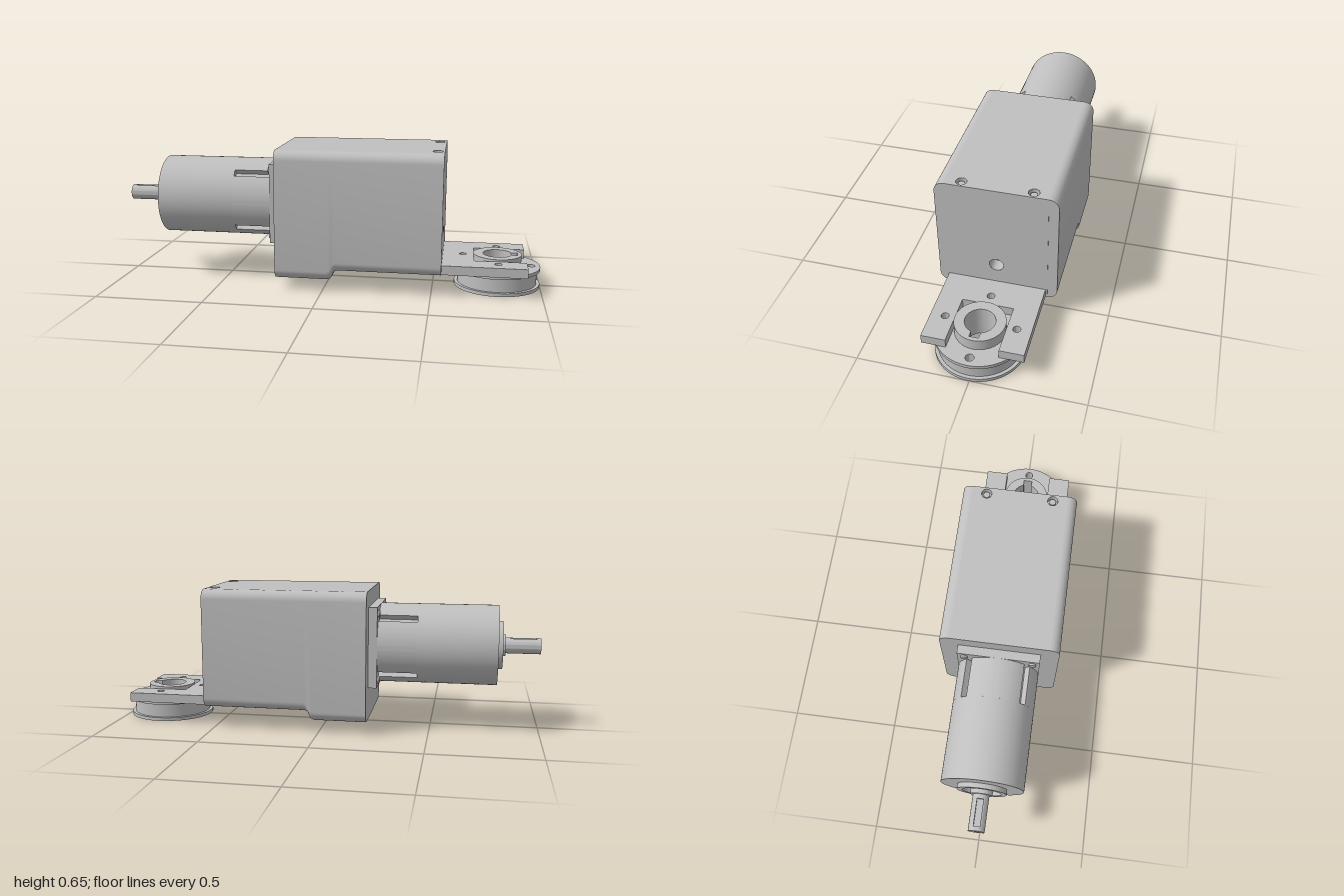
import * as THREE from 'three';
import { toCreasedNormals, mergeVertices } from 'three/addons/utils/BufferGeometryUtils.js';

const PI = Math.PI;
const AXIS_Y = 0.39; // height of the gear motor axis

export function createModel() {
  const model = new THREE.Group();
  model.name = 'gearMotorUnit';
  const grey = new THREE.MeshStandardMaterial({ color: 0xc0c0c0 });
  grey.name = 'machinedGrey';

  function add(name, geo, x = 0, y = 0, z = 0, parent = model) {
    const mesh = new THREE.Mesh(geo, grey);
    mesh.name = name;
    mesh.position.set(x, y, z);
    parent.add(mesh);
    return mesh;
  }
  const crease = (g) => toCreasedNormals(g, 0.5);

  // Extrusions along +x (shape right = -z) and along +y (shape up = -z)
  const extrude = (shape, depth) =>
    new THREE.ExtrudeGeometry(shape, { depth, bevelEnabled: false, curveSegments: 32 });
  const alongX = (shape, depth) => crease(extrude(shape, depth).rotateY(PI / 2));
  const alongY = (shape, depth) => crease(extrude(shape, depth).rotateX(-PI / 2));
  const circle = (r, x = 0, y = 0, T = THREE.Shape) => new T().absarc(x, y, r, 0, PI * 2, false);
  const hole = (r, x, y) => circle(r, x, y, THREE.Path);

  // Circle with slots cut in at the given angles
  function slotted(r, angles, half, depth) {
    const s = new THREE.Shape();
    angles.forEach((a, i) => {
      const next = i + 1 < angles.length ? angles[i + 1] : angles[0] + PI * 2;
      const inner = r - depth, w = (half * r) / inner;
      if (i === 0) s.moveTo(inner * Math.cos(a - w), inner * Math.sin(a - w));
      else s.lineTo(inner * Math.cos(a - w), inner * Math.sin(a - w));
      s.lineTo(inner * Math.cos(a + w), inner * Math.sin(a + w));
      s.absarc(0, 0, r, a + half, next - half, false);
    });
    s.closePath();
    return s;
  }

  // Blind hole opening towards +y
  const pocket = (r, d) => crease(new THREE.LatheGeometry(
    [new THREE.Vector2(r, 0), new THREE.Vector2(r, -d), new THREE.Vector2(0, -d)], 24));

  // ---- Housing: rounded section lofted along x, with a stepped foot ----
  const W = 0.27, TOP = 0.652, R = 0.045, N = 8, X0 = -0.22, X1 = 0.545;
  const sections = [[X0, 0.052], [0.02, 0.052], [0.035, 0.057], [0.043, 0.067],
    [0.047, 0.08], [0.055, 0.092], [0.065, 0.097], [X1, 0.097]];
  function ring(bottom) {
    const pts = [];
    [[1, 0], [1, 1], [-1, 1], [-1, 0]].forEach(([sx, up], c) => {
      for (let k = 0; k <= N; k++) {
        const a = (c - 1 + k / N) * PI / 2;
        pts.push(new THREE.Vector2(sx * (W - R) + R * Math.cos(a),
          (up ? TOP - R : bottom + R) + R * Math.sin(a)));
      }
    });
    return pts;
  }
  const count = 4 * (N + 1), topStrip = 2 * (N + 1) - 1, bottomStrip = count - 1;
  const pos = [], index = [];
  sections.forEach(([x, b], i) => {
    ring(b).forEach((p) => pos.push(p.x, p.y, x));
    if (i === 0) return;
    for (let j = 0; j < count; j++) {
      // the top and the foot underside are made as drilled plates
      if (j === topStrip || (j === bottomStrip && i === 1)) continue;
      const k = (j + 1) % count, a = (i - 1) * count, d = i * count;
      index.push(a + j, a + k, d + k, a + j, d + k, d + j);
    }
  });
  const shell = new THREE.BufferGeometry();
  shell.setAttribute('position', new THREE.Float32BufferAttribute(pos, 3));
  shell.setIndex(index);
  const housing = new THREE.Group();
  housing.name = 'housing';
  model.add(housing);
  add('housingShell', crease(mergeVertices(shell).rotateY(PI / 2)), 0, 0, 0, housing);

  const endCap = new THREE.Shape(ring(0.097));
  endCap.holes.push(hole(0.032, -0.005, 0.24));
  add('outputEndFace', new THREE.ShapeGeometry(endCap, 24).rotateY(PI / 2), X1, 0, 0, housing);
  add('endFaceHole', pocket(0.032, 0.06).rotateZ(-PI / 2), X1, 0.24, 0.005, housing);
  add('motorEndFace', new THREE.ShapeGeometry(new THREE.Shape(ring(0.052))).rotateY(-PI / 2),
    X0, 0, 0, housing);
  add('sideSeam', new THREE.BoxGeometry(0.004, 0.508, 0.004), X1, 0.351, -0.224, housing);

  // Flat plate with two drilled holes
  function drilledPlate(xa, xb, hx, hz, r) {
    const s = new THREE.Shape([[xa, R - W], [xb, R - W], [xb, W - R], [xa, W - R]]
      .map((p) => new THREE.Vector2(...p)));
    for (const side of [-1, 1]) s.holes.push(hole(r, hx, side * hz));
    return new THREE.ShapeGeometry(s, 24);
  }
  add('topFace', drilledPlate(X0, X1, 0.513, 0.156, 0.024).rotateX(-PI / 2), 0, TOP, 0, housing);
  add('footFace', drilledPlate(X0, 0.02, -0.04, 0.15, 0.016).rotateX(PI / 2), 0, 0.052, 0, housing);
  for (const side of [-1, 1]) {
    add('topScrewHole', pocket(0.024, 0.03), 0.513, TOP, side * 0.156, housing);
    add('topScrew', new THREE.CylinderGeometry(0.015, 0.015, 0.02, 24),
      0.513, TOP - 0.02, side * 0.156, housing);
    add('footHole', pocket(0.016, 0.04).rotateX(PI), -0.04, 0.052, side * 0.15, housing);
  }

  // ---- Gearhead: flange, slotted barrel, bearing boss and keyed shaft ----
  const gearhead = new THREE.Group();
  gearhead.name = 'gearhead';
  gearhead.position.y = AXIS_Y;
  model.add(gearhead);
  add('gearheadFlange', new THREE.BoxGeometry(0.04, 0.374, 0.374), -0.24, 0, 0, gearhead);
  const corners = [1, 3, 5, 7].map((k) => k * PI / 4);
  add('gearheadBarrel', alongX(circle(0.187), 0.365), -0.805, 0, 0, gearhead);
  add('slottedBarrel', alongX(slotted(0.187, corners, 0.095, 0.03), 0.18), -0.44, 0, 0, gearhead);
  for (const a of corners) {
    add('flangeScrew', new THREE.CylinderGeometry(0.016, 0.016, 0.012, 20).rotateZ(PI / 2),
      -0.263, 0.219 * Math.sin(a), 0.219 * Math.cos(a), gearhead);
  }
  const bossRing = circle(0.112);
  bossRing.holes.push(hole(0.088, 0, 0));
  add('bossRing', alongX(bossRing, 0.022), -0.827, 0, 0, gearhead);
  add('shaftCollar', alongX(circle(0.05), 0.036), -0.84, 0, 0, gearhead);
  const tip = circle(0.037);
  tip.holes.push(hole(0.012, 0, 0));
  add('shaftTip', alongX(tip, 0.02), -1, 0, 0, gearhead);
  add('keyedShaft', alongX(slotted(0.037, [PI / 2], 0.4, 0.014), 0.12), -0.98, 0, 0, gearhead);
  add('shaftRoot', alongX(circle(0.037), 0.04), -0.86, 0, 0, gearhead);

  // ---- Mounting plate: open fork around the pulley hub ----
  const fork = new THREE.Shape([[0.5, -0.223], [0.93, -0.223], [0.93, -0.115], [0.69, -0.115],
    [0.69, 0.115], [0.93, 0.115], [0.93, 0.223], [0.5, 0.223]].map((p) => new THREE.Vector2(...p)));
  fork.holes.push(hole(0.017, 0.64, 0), hole(0.017, 0.8, 0.158), hole(0.017, 0.8, -0.158));
  add('forkPlate', alongY(fork, 0.043), 0, 0.098, 0.005);

  // ---- Pulley: two rims, a belt groove and a hub with keyed bore ----
  const pulley = new THREE.Group();
  pulley.name = 'pulley';
  pulley.position.set(0.8, 0, 0.007);
  model.add(pulley);
  function keyedDisc(r, drilled) {
    const s = circle(r), b = 0.067, k = 0.021, a = Math.asin(k / b);
    const bore = new THREE.Path().absarc(0, 0, b, a, PI * 2 - a, false);
    bore.lineTo(0.093, -k);
    bore.lineTo(0.093, k);
    bore.closePath();
    s.holes.push(bore);
    if (drilled) for (let i = 0; i < 4; i++) {
      s.holes.push(hole(0.019, 0.158 * Math.cos(i * PI / 2), 0.158 * Math.sin(i * PI / 2)));
    }
    return s;
  }
  for (const [name, r, y0, y1, drilled] of [['lowerRim', 0.2, 0, 0.016, true],
    ['beltGroove', 0.185, 0.016, 0.081, true], ['upperRim', 0.2, 0.081, 0.097, true],
    ['hub', 0.112, 0.097, 0.15, false]]) {
    add(name, alongY(keyedDisc(r, drilled), y1 - y0), 0, y0, 0, pulley);
  }
  return model;
}
